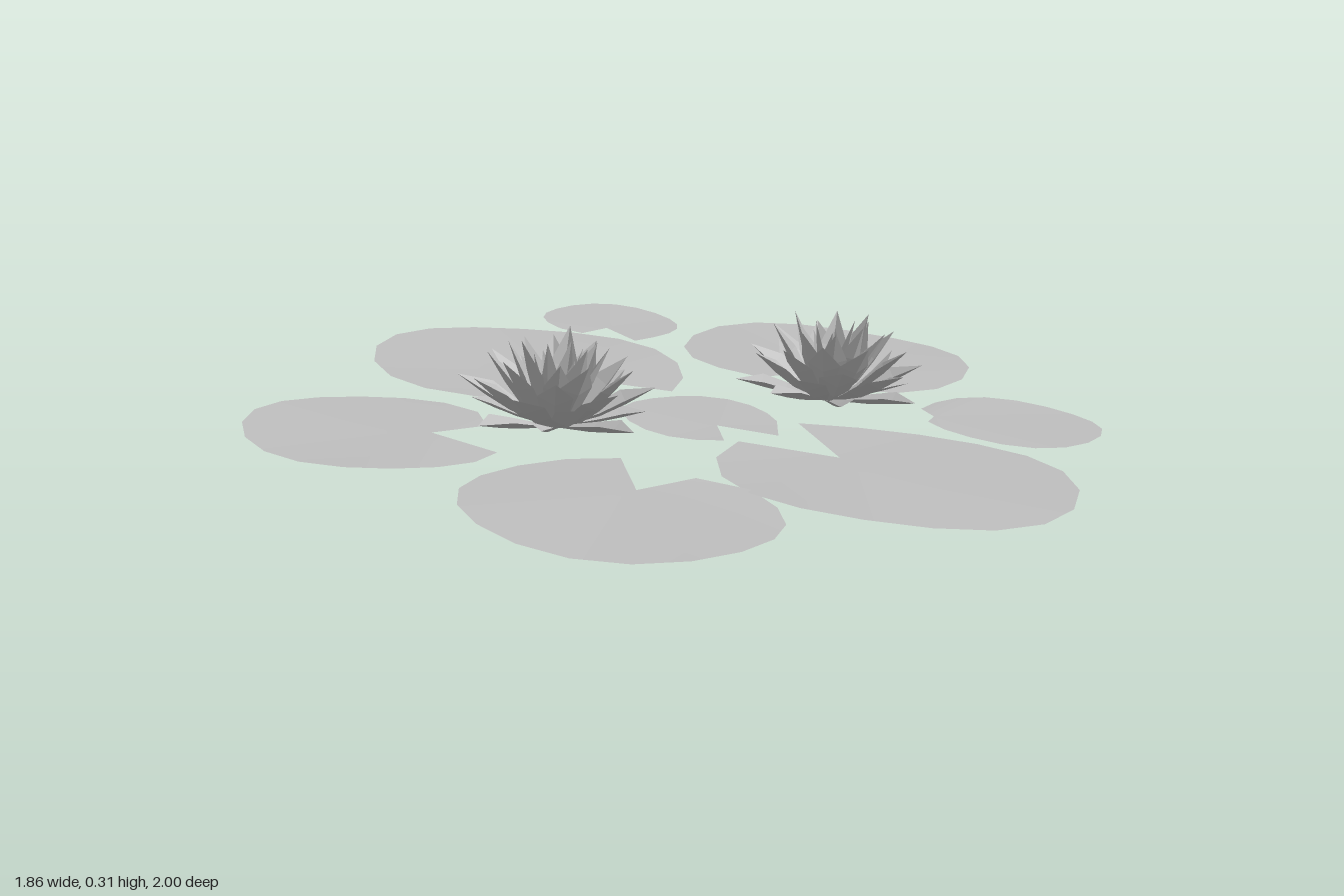
import * as THREE from 'three';

const grey = new THREE.MeshStandardMaterial({ color: 0xbcbcbc, side: THREE.DoubleSide });
grey.name = 'plain grey';
const petalGrey = grey.clone();
petalGrey.name = 'petal grey';
petalGrey.flatShading = true;

// Pads: centre [x,z], radii [x,z], notch tip, the two notch corners
const PADS = [
  { c: [-0.18, -0.82], r: [0.17, 0.18], tip: [-0.19, -0.745], a: [-0.25, -0.675], b: [-0.12, -0.64] },
  { c: [0.35, -0.62], r: [0.35, 0.315], tip: [0.33, -0.47], a: [0.17, -0.35], b: [0.37, -0.31] },
  { c: [-0.37, -0.35], r: [0.36, 0.345], tip: [-0.285, -0.245], a: [-0.04, -0.205], b: [-0.23, -0.01] },
  { c: [0.015, 0.015], r: [0.172, 0.172], tip: [0.05, 0.07], a: [0.18, 0.12], b: [0.06, 0.185] },
  { c: [0.725, -0.13], r: [0.207, 0.193], tip: [0.55, -0.13], a: [0.53, -0.2], b: [0.53, -0.08] },
  { c: [0.41, 0.345], r: [0.375, 0.345], tip: [0.3, 0.25], a: [0.09, 0.19], b: [0.23, 0.02] },
  { c: [-0.665, 0.29], r: [0.27, 0.27], tip: [-0.55, 0.275], a: [-0.44, 0.2], b: [-0.41, 0.37] },
  { c: [-0.16, 0.685], r: [0.315, 0.312], tip: [-0.13, 0.57], a: [-0.16, 0.375], b: [-0.01, 0.47] },
];

// Thin leaf: a fan from the notch tip out to a softly rippled rim
function makePad({ c, r, tip, a, b }, seed) {
  const angle = (p) => Math.atan2((p[1] - c[1]) / r[1], (p[0] - c[0]) / r[0]);
  const span = (p, q) => (angle(q) - angle(p) + Math.PI * 4) % (Math.PI * 2);
  const [from, to] = span(a, b) > Math.PI ? [a, b] : [b, a];
  const sweep = span(from, to), n = 16;
  const pos = [tip[0], 0, tip[1]], index = [];
  for (let i = 0; i <= n; i++) {
    const t = angle(from) + (sweep * i) / n;
    const p = i === 0 ? from : i === n ? to : [c[0] + r[0] * Math.cos(t), c[1] + r[1] * Math.sin(t)];
    pos.push(p[0], 0.015 * r[0] * Math.sin(3 * t + seed * 1.7), p[1]);
    if (i < n) index.push(0, i + 2, i + 1);
  }
  const g = new THREE.BufferGeometry();
  g.setAttribute('position', new THREE.Float32BufferAttribute(pos, 3));
  g.setIndex(index);
  g.computeVertexNormals();
  return new THREE.Mesh(g, grey);
}

// Pointed petal, creased along its middle and curving up and outward along +x
function petalGeometry(reach, height, width) {
  const pos = [], index = [];
  const rows = [[0, 0.2], [0.35, 0.8], [0.65, 1], [1, 0]]; // [along, width]
  rows.forEach(([t, w], i) => {
    const x = 0.015 + (reach - 0.015) * Math.pow(t, 0.85);
    const y = height * Math.pow(t, 1.25);
    const len = Math.hypot(reach, height), lift = 0.25 * width * w;
    for (const s of [-1, 0, 1]) {
      const e = Math.abs(s) * lift; // edges fold toward the flower's middle
      pos.push(x - (e * height) / len, y + (e * reach) / len, (s * w * width) / 2);
    }
    if (i < rows.length - 1) {
      for (let j = 0; j < 2; j++) {
        const k = i * 3 + j;
        index.push(k, k + 1, k + 3, k + 1, k + 4, k + 3);
      }
    }
  });
  const g = new THREE.BufferGeometry();
  g.setAttribute('position', new THREE.Float32BufferAttribute(pos, 3));
  g.setIndex(index);
  g.computeVertexNormals();
  return g;
}

// Rings of petals: count, reach, height, width
const RINGS = [
  [7, 0.195, 0.035, 0.08],
  [9, 0.195, 0.1, 0.085],
  [9, 0.155, 0.15, 0.075],
  [8, 0.105, 0.18, 0.062],
  [6, 0.05, 0.17, 0.045],
];

function makeFlower(seed) {
  const flower = new THREE.Group();
  RINGS.forEach(([count, reach, height, width], ring) => {
    for (let i = 0; i < count; i++) {
      const wob = Math.sin(i * 2.4 + ring * 1.9 + seed);
      const petal = new THREE.Mesh(
        petalGeometry(reach * (1 + 0.1 * wob), height * (1 - 0.1 * wob), width), petalGrey);
      petal.name = 'petal';
      petal.rotation.y = ((i + ring * 0.5) / count) * Math.PI * 2 + 0.12 * wob + seed;
      flower.add(petal);
    }
  });
  return flower;
}

export function createModel() {
  const model = new THREE.Group();
  model.name = 'waterLilies';

  // Everything floats on one gently sloping plane
  const surface = new THREE.Group();
  surface.name = 'floatingPlants';
  surface.position.y = 0.079;
  surface.rotation.z = -0.083;
  model.add(surface);

  PADS.forEach((pad, i) => {
    const mesh = makePad(pad, i);
    mesh.name = 'lilyPad' + (i + 1);
    surface.add(mesh);
  });

  [[0.315, -0.2, 0.3], [-0.3, 0.175, 1.1]].forEach(([x, z, seed], i) => {
    const flower = makeFlower(seed);
    flower.name = 'flower' + (i + 1);
    flower.position.set(x, 0.003, z);
    surface.add(flower);
  });
  return model;
}
